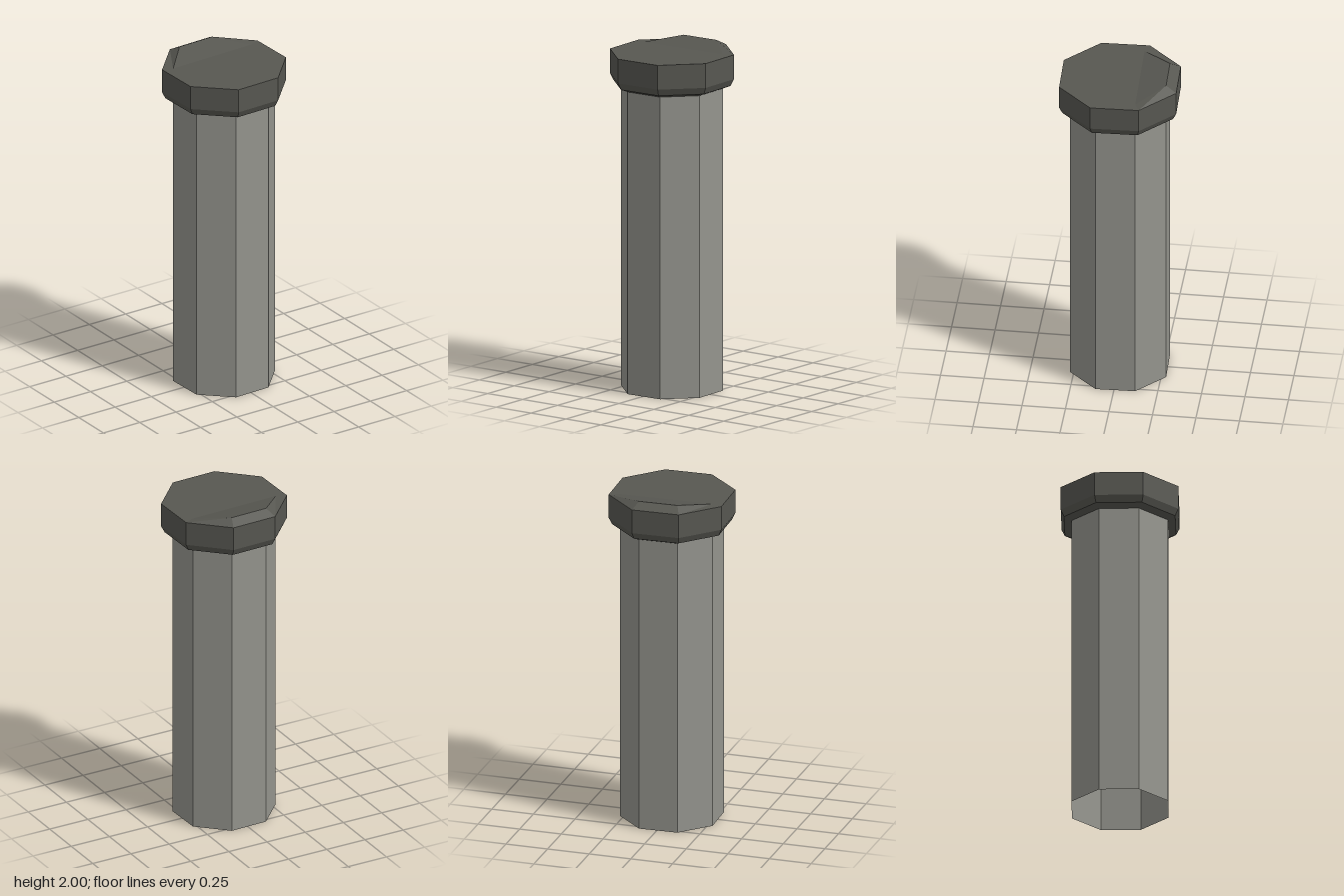
import * as THREE from 'three';

const SIDES = 8;
const TURN = THREE.MathUtils.degToRad(20.8); // angle of the first corner, from +x towards +z

const corner = (i, radius, y) => {
  const a = TURN + (i % SIDES) * Math.PI * 2 / SIDES;
  return [radius * Math.cos(a), y, radius * Math.sin(a)];
};

// Eight-sided shell from [radius, y] pairs, bottom to top
function shell(profile) {
  const points = profile.map(([r, y]) => new THREE.Vector2(r, y));
  return new THREE.LatheGeometry(points, SIDES, Math.PI / 2 - TURN);
}

// Top face: flat octagon with a raised lip along its back edge
function topFace(outerR, innerR, y, lipY) {
  const outer = (i) => corner(i, outerR, y);
  const inner = (i) => corner(i, innerR, i % SIDES === 5 || i % SIDES === 6 ? lipY : y);
  const pos = [];
  for (let i = 0; i < SIDES; i++) {
    pos.push(...inner(i), ...outer(i + 1), ...outer(i));
    pos.push(...inner(i), ...inner(i + 1), ...outer(i + 1));
  }
  for (let i = 5; i < 11; i++) pos.push(...inner(4), ...inner(i + 1), ...inner(i));
  const geo = new THREE.BufferGeometry();
  geo.setAttribute('position', new THREE.Float32BufferAttribute(pos, 3));
  geo.computeVertexNormals();
  return geo;
}

export function createModel() {
  const group = new THREE.Group();
  const material = (name, color) => {
    const m = new THREE.MeshStandardMaterial({ color, flatShading: true, side: THREE.DoubleSide });
    m.name = name;
    return m;
  };
  const stone = material('light grey', 0x94948d);
  const dark = material('dark grey', 0x575751);

  const add = (name, geo, mat) => {
    const mesh = new THREE.Mesh(geo, mat);
    mesh.name = name;
    group.add(mesh);
  };

  // Hollow shaft, open at the bottom
  add('shaft', shell([[0.298, 0], [0.298, 1.767]]), stone);
  // Wider cap with a chamfered underside
  add('capSides', shell([[0.298, 1.767], [0.343, 1.785], [0.363, 1.825], [0.363, 1.967]]), dark);
  add('capTop', topFace(0.363, 0.298, 1.967, 2), dark);

  return group;
}
